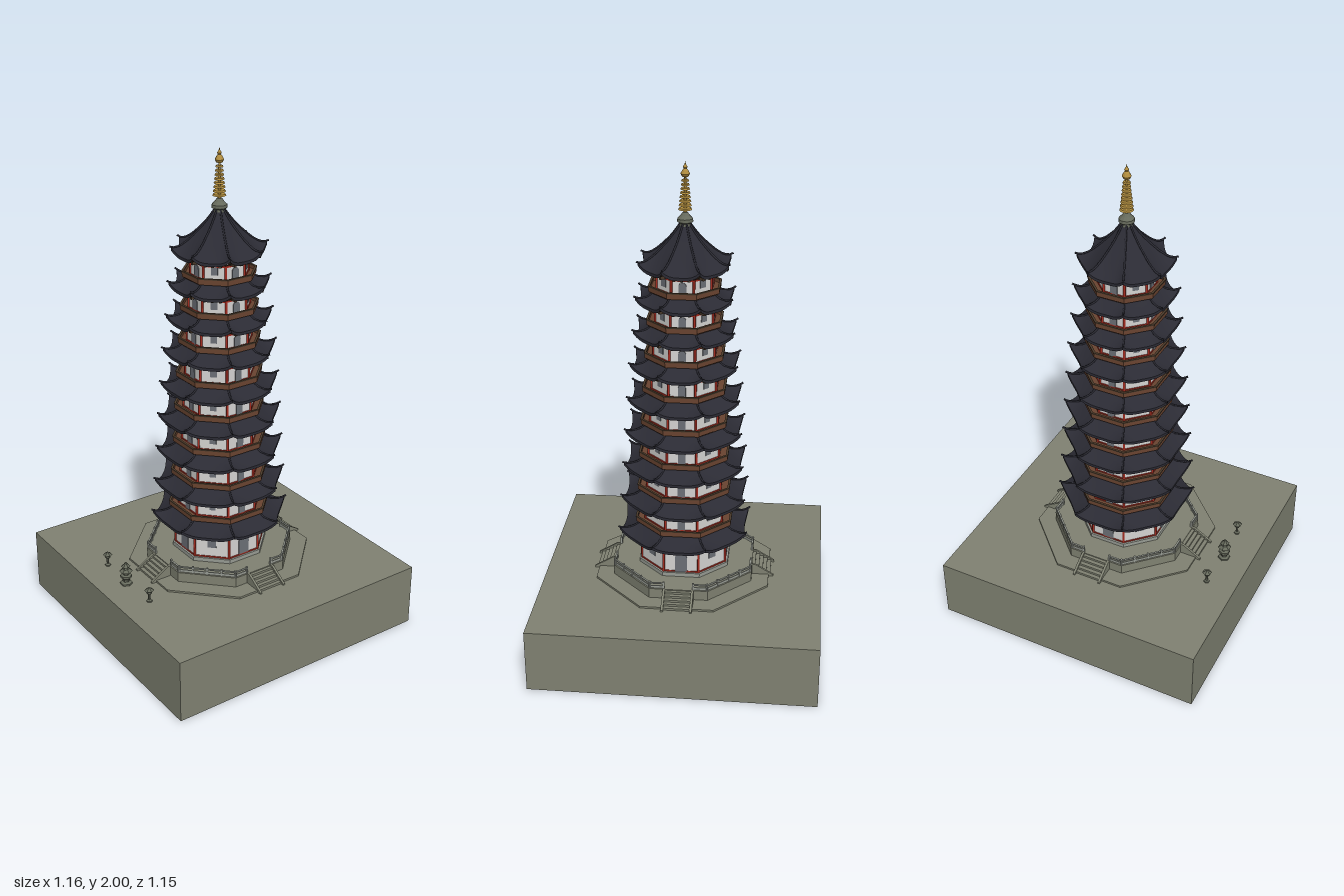
import * as THREE from 'three';

const mat = (name, color, side = THREE.FrontSide) => {
  const m = new THREE.MeshStandardMaterial({ color, side });
  m.name = name;
  return m;
};
const M = {
  stone: mat('stone', 0x808272),
  paleStone: mat('pale stone', 0x989c94),
  tile: mat('roof tile', 0x2b2b34),
  timber: mat('dark timber', 0x4a3a2a),
  balcony: mat('balcony wood', 0x6a4430),
  red: mat('red lacquer', 0xa62c20),
  plaster: mat('plaster', 0xd6d5d3),
  door: mat('door grey', 0x6c7077),
  gold: mat('gold', 0xb08c3e),
  bronze: mat('weathered bronze', 0x666a5c),
};
const C8 = Math.cos(Math.PI / 8), T8 = Math.tan(Math.PI / 8);

function add(parent, name, geo, material, x = 0, y = 0, z = 0) {
  const m = new THREE.Mesh(geo, material);
  m.name = name;
  m.position.set(x, y, z);
  parent.add(m);
  return m;
}
const box = (w, h, d) => new THREE.BoxGeometry(w, h, d);

// Flat-sided turned form; pts are [radius, y] from bottom to top
function turned(pts, sides, phase = 0) {
  const g = new THREE.LatheGeometry(pts.map(p => new THREE.Vector2(...p)), sides, phase).toNonIndexed();
  g.computeVertexNormals();
  return g;
}
// Octagonal form measured to the middle of its sides, one face toward +z
const oct = pts => turned(pts.map(([r, y]) => [r / C8, y]), 8, Math.PI / 8);
const octBlock = (r, y0, y1) => oct([[0, y0], [r, y0], [r, y1], [0, y1]]);

// Group whose +z looks out of face k
function face(parent, k, name) {
  const g = new THREE.Group();
  g.name = name;
  g.rotation.y = k * Math.PI / 4;
  parent.add(g);
  return g;
}

// Roof sheet of eight curved sectors; rows are [radius, y, curl]
function roofSheet(rows, rise, sag) {
  const N = 10, pos = [], idx = [];
  for (let k = 0; k < 8; k++) {
    const base = pos.length / 3, a = k * Math.PI / 4;
    for (const [r, y, w] of rows) for (let i = 0; i <= N; i++) {
      const c = 2 * i / N - 1;
      const d = r - sag * w * (1 - c * c), e = c * r * T8;
      pos.push(d * Math.sin(a) + e * Math.cos(a), y + rise * w * Math.abs(c) ** 3,
        d * Math.cos(a) - e * Math.sin(a));
    }
    for (let j = 0; j < rows.length - 1; j++) for (let i = 0; i < N; i++) {
      const p = base + j * (N + 1) + i, q = p + N + 1;
      idx.push(p, p + 1, q, q + 1, q, p + 1);
    }
  }
  const g = new THREE.BufferGeometry();
  g.setAttribute('position', new THREE.Float32BufferAttribute(pos, 3));
  g.setIndex(idx);
  g.computeVertexNormals();
  return g;
}

function roof(parent, r, tip, wallR, top) {
  const g = new THREE.Group();
  g.name = 'roof';
  parent.add(g);
  const y = tip - 0.043, rise = 0.026, sag = 0.011, e = r - 0.004;
  const rows = [[e, y + 0.012, 1], ...top];
  add(g, 'soffit', roofSheet([[wallR, y - 0.002, 0], [e - 0.03, y + 0.002, 0.5], [e, y, 1]], rise, sag), M.timber);
  add(g, 'eaveEdge', roofSheet([[e, y, 1], rows[0]], rise, sag), M.tile);
  add(g, 'roofTiles', roofSheet(rows, rise, sag), M.tile);
  // Corbel and brackets under the eaves
  add(g, 'corbel', oct([[wallR, y - 0.014], [wallR + 0.03, y + 0.003]]), M.timber);
  for (let k = 0; k < 8; k++) {
    const f = face(g, k, 'brackets');
    for (const s of [-0.66, 0, 0.66])
      add(f, 'bracket', box(0.01, 0.012, 0.045), M.timber, s * wallR * T8, y - 0.003, wallR + 0.02);
    // Hip ridge with upturned end
    const pts = rows.map(([q, h, w]) => new THREE.Vector3(0, h + rise * w + 0.001, q / C8));
    pts.unshift(new THREE.Vector3(0, tip, r / C8 + 0.003));
    const ridge = add(g, 'hipRidge', new THREE.TubeGeometry(new THREE.CatmullRomCurve3(pts), 14, 0.0042, 5), M.tile);
    ridge.rotation.y = (k + 0.5) * Math.PI / 4;
  }
}

function archGeo(w, h) {
  const s = new THREE.Shape();
  s.moveTo(-w / 2, 0);
  s.lineTo(w / 2, 0);
  s.lineTo(w / 2, h - w / 2);
  s.absarc(0, h - w / 2, w / 2, 0, Math.PI);
  s.closePath();
  return new THREE.ExtrudeGeometry(s, { depth: 0.003, bevelEnabled: false, curveSegments: 8 });
}

// Walls, lacquered frame, doors and windows of one storey
function storey(parent, r, y0, y1, ground) {
  const g = new THREE.Group();
  g.name = 'storey';
  parent.add(g);
  add(g, 'walls', octBlock(r, y0, y1 + 0.02), M.plaster);
  const h = y1 - y0, half = r * T8;
  for (let k = 0; k < 8; k++) {
    const f = face(g, k, 'wallFace');
    add(f, 'topBeam', box(half * 2, 0.008, 0.006), M.red, 0, y1 - 0.003, r);
    add(f, 'sill', box(half * 2, 0.006, 0.006), M.red, 0, y0 + 0.003, r);
    add(f, 'column', new THREE.CylinderGeometry(0.005, 0.005, h, 8), M.red, half, y0 + h / 2, r);
    if (k % 2 === 0) {
      add(f, 'door', archGeo(ground ? 0.05 : 0.03, h * 0.82), M.door, 0, y0, r);
    } else {
      const w = ground ? 0.036 : 0.026, wh = ground ? 0.042 : 0.03;
      add(f, 'window', box(w, wh, 0.006), M.door, 0, y0 + h * 0.62, r);
    }
  }
}

function terrace(parent) {
  const g = new THREE.Group();
  g.name = 'terrace';
  parent.add(g);
  add(g, 'lowerStep', octBlock(0.358, 0.26, 0.273), M.stone);
  add(g, 'platform', octBlock(0.288, 0.26, 0.315), M.stone);
  add(g, 'plinth', octBlock(0.185, 0.31, 0.332), M.paleStone);
  const half = 0.284 * T8;
  const cheek = new THREE.Shape([[0.285, 0.265], [0.378, 0.265], [0.378, 0.271], [0.3, 0.318], [0.285, 0.318]]
    .map(p => new THREE.Vector2(...p)));
  for (let k = 0; k < 8; k++) {
    const f = face(g, k, 'terraceSide');
    const spans = k % 2 ? [[-half, half]] : [[-half, -0.06], [0.06, half]];
    for (const [a, b] of spans) {
      const w = b - a, x = (a + b) / 2;
      add(f, 'handrail', box(w, 0.005, 0.007), M.paleStone, x, 0.339, 0.282);
      add(f, 'railPanel', box(w, 0.011, 0.004), M.paleStone, x, 0.3225, 0.282);
      const n = Math.max(1, Math.round(w / 0.055));
      for (let i = 0; i <= n; i++)
        add(f, 'railPost', box(0.007, 0.032, 0.008), M.paleStone, a + w * i / n, 0.33, 0.282);
    }
    if (k % 2) continue;
    // Stairs with sloping cheek walls
    for (let i = 0; i < 5; i++) {
      const d = 0.016 * (5 - i);
      add(f, 'stairStep', box(0.108, 0.009, d), M.stone, 0, 0.2705 + i * 0.009, 0.285 + d / 2);
    }
    for (const s of [-1, 1]) {
      const c = add(f, 'stairCheek', new THREE.ExtrudeGeometry(cheek, { depth: 0.01, bevelEnabled: false }),
        M.stone, s * 0.058 + 0.005, 0, 0);
      c.rotation.y = -Math.PI / 2;
    }
  }
}

export function createModel() {
  const root = new THREE.Group();
  root.name = 'pagoda';
  add(root, 'groundBlock', box(1.158, 0.265, 1.154), M.stone, 0, 0.1325, 0);
  terrace(root);

  // Nine storeys; each lower roof carries the next balcony
  const tips = [0.497, 0.645, 0.792, 0.937, 1.077, 1.22, 1.357, 1.492, 1.628];
  const eaves = [0.265, 0.254, 0.244, 0.235, 0.225, 0.214, 0.2, 0.19, 0.178];
  const decks = [0.196, 0.187, 0.179, 0.171, 0.163, 0.154, 0.145, 0.137];
  tips.forEach((tip, i) => {
    const r = i ? 0.158 - 0.0075 * (i - 1) : 0.174;
    storey(root, r, i ? tips[i - 1] + 0.018 : 0.332, tip - 0.056, i === 0);
    const y = tip - 0.043, e = eaves[i];
    if (i === 8) {
      roof(root, e, tip, r, [[0.145, 1.613, 0.55], [0.112, 1.645, 0.2], [0.085, 1.675, 0.05],
        [0.06, 1.703, 0], [0.038, 1.732, 0], [0.018, 1.762, 0]]);
      return;
    }
    const d = decks[i], inner = d - 0.025, b = tip + 0.009;
    const lerp = t => e + (inner - e) * t;
    roof(root, e, tip, r, [[lerp(0.3), y + 0.019, 0.5], [lerp(0.65), y + 0.033, 0.12], [inner, b + 0.004, 0]]);
    add(root, 'balconyDeck', octBlock(d - 0.004, b, b + 0.01), M.balcony);
    add(root, 'balconyParapet', oct([[d - 0.004, b + 0.004], [d, b + 0.004], [d, b + 0.023],
      [d - 0.006, b + 0.023], [d - 0.006, b + 0.008]]), M.balcony);
    add(root, 'balconyRail', oct([[d - 0.007, b + 0.022], [d + 0.002, b + 0.022], [d + 0.002, b + 0.027],
      [d - 0.007, b + 0.027], [d - 0.007, b + 0.022]]), M.timber);
  });

  // Finial: bronze bell base, ringed gold mast and jewel
  add(root, 'finialBase', turned([[0, 1.752], [0.024, 1.752], [0.022, 1.764], [0.031, 1.77], [0.03, 1.782],
    [0.018, 1.794], [0.01, 1.806], [0, 1.808]], 12), M.bronze);
  add(root, 'mast', new THREE.CylinderGeometry(0.004, 0.007, 0.15, 8), M.gold, 0, 1.875, 0);
  for (let i = 0; i < 8; i++) {
    const r = 0.027 - i * 0.0017;
    add(root, 'mastRing', new THREE.CylinderGeometry(r * 0.85, r, 0.006, 14), M.gold, 0, 1.819 + i * 0.0155, 0);
  }
  add(root, 'jewel', turned([[0, 1.938], [0.012, 1.942], [0.018, 1.953], [0.011, 1.966], [0.006, 1.972],
    [0.009, 1.978], [0.003, 1.988], [0, 2]], 10), M.gold);

  // Incense burner flanked by two stone lanterns
  add(root, 'incenseBurner', turned([[0, 0.265], [0.025, 0.265], [0.025, 0.272], [0.014, 0.278], [0.016, 0.288],
    [0.024, 0.296], [0.024, 0.306], [0.013, 0.31], [0.013, 0.322], [0.028, 0.325], [0.014, 0.335],
    [0.011, 0.345], [0.019, 0.347], [0.008, 0.357], [0.004, 0.365], [0, 0.367]], 6), M.bronze, -0.463, 0, 0);
  for (const z of [-0.164, 0.164])
    add(root, 'stoneLantern', turned([[0, 0.265], [0.012, 0.265], [0.012, 0.27], [0.005, 0.274], [0.005, 0.298],
      [0.011, 0.302], [0.011, 0.314], [0.02, 0.316], [0.008, 0.324], [0, 0.332]], 6), M.bronze, -0.454, 0, z);
  return root;
}
